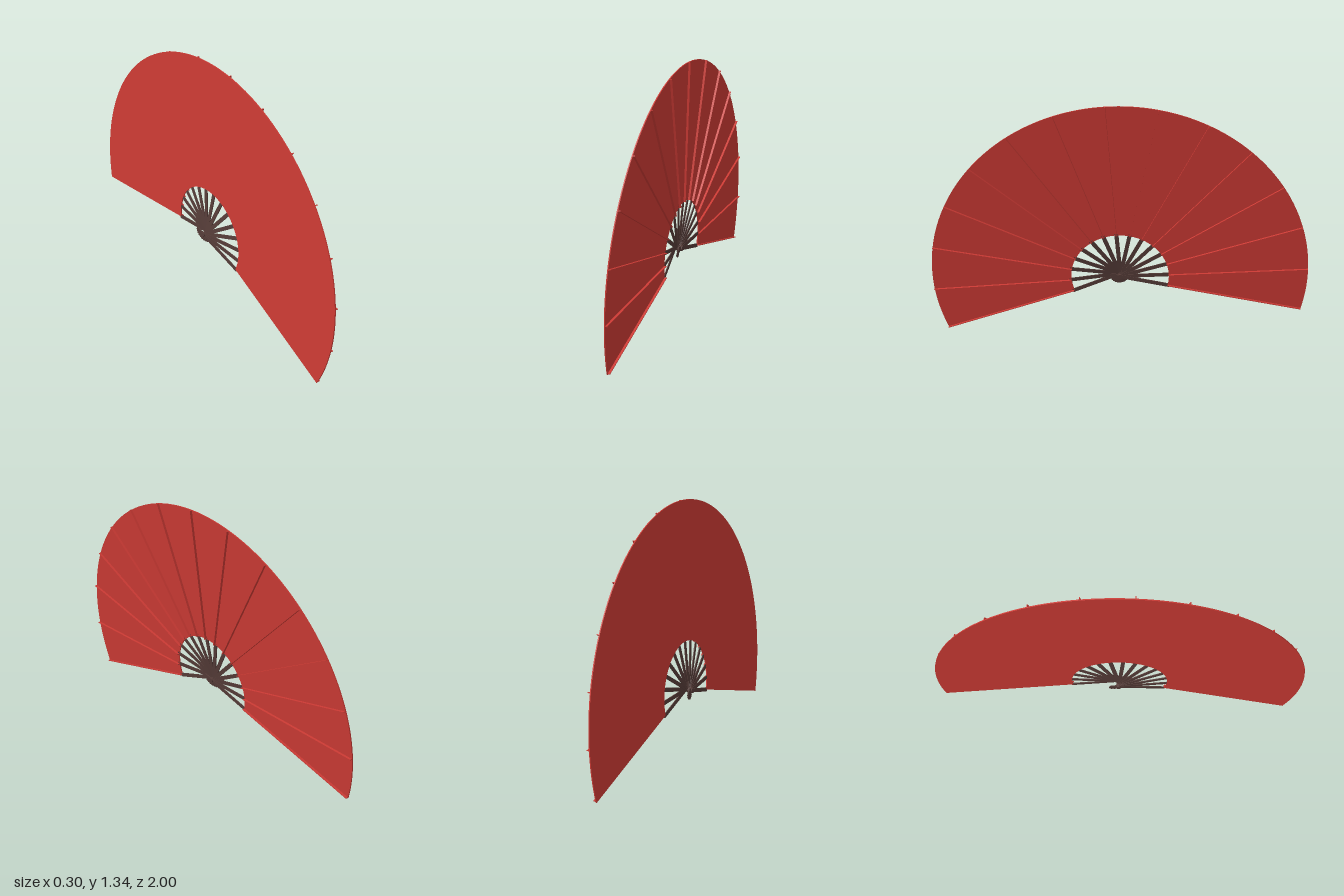
import * as THREE from 'three';

const RIBS = 15, START = 199.8, END = -12.2; // rib angles in degrees
const INNER = 0.26, OUTER = 1.0;

export function createModel() {
  const group = new THREE.Group();
  const red = new THREE.MeshStandardMaterial({ color: 0xcc3a34, side: THREE.DoubleSide });
  red.name = 'red paper';
  const brown = new THREE.MeshStandardMaterial({ color: 0x553c38 });
  brown.name = 'dark wood';

  // Lay the flat fan (drawn in XY, thickness Z) into its slightly turned upright plane
  const place = new THREE.Matrix4().set(
    -0.1265, 0.063, 1, -0.008,
    0, 1, 0, 0.34,
    -1, 0, 0, 0,
    0, 0, 0, 1);
  const add = (name, geometry, material) => {
    const mesh = new THREE.Mesh(geometry.applyMatrix4(place), material);
    mesh.name = name;
    group.add(mesh);
  };
  const rad = THREE.MathUtils.degToRad;

  // Paper leaf: a ring sector
  const leaf = new THREE.Shape();
  leaf.absarc(0, 0, OUTER, rad(END), rad(START), false);
  leaf.absarc(0, 0, INNER, rad(START), rad(END), true);
  add('paperLeaf', new THREE.ExtrudeGeometry(leaf, { depth: 0.006, bevelEnabled: false, curveSegments: 84 })
    .translate(0, 0, -0.003), red);

  for (let i = 0; i < RIBS; i++) {
    const t = i / (RIBS - 1);
    const angle = rad(START + (END - START) * t);

    // Raised fold running along the leaf, kept just inside at both ends
    const inset = i === 0 ? -0.006 : i === RIBS - 1 ? 0.006 : 0;
    add('paperFold', new THREE.BoxGeometry(OUTER - INNER, 0.004, 0.014)
      .translate((OUTER + INNER) / 2, 0, 0.008).rotateZ(angle + inset), red);

    // Stick: slants from the leaf to its own layer in the stack at the pivot
    const layer = -0.036 * (1 - t);
    const slant = new THREE.Matrix4().set(
      1, 0, 0, 0,
      0, 1, 0, 0,
      -layer / INNER, 0, 1, layer,
      0, 0, 0, 1);
    add('stick', new THREE.BoxGeometry(0.32, 0.021, 0.005)
      .translate(0.11, 0, 0).applyMatrix4(slant).rotateZ(angle), brown);
  }

  // Pivot pin through the stack of sticks
  add('pivotPin', new THREE.CylinderGeometry(0.014, 0.014, 0.05, 16)
    .rotateX(Math.PI / 2).translate(0, 0, -0.018), brown);

  return group;
}
